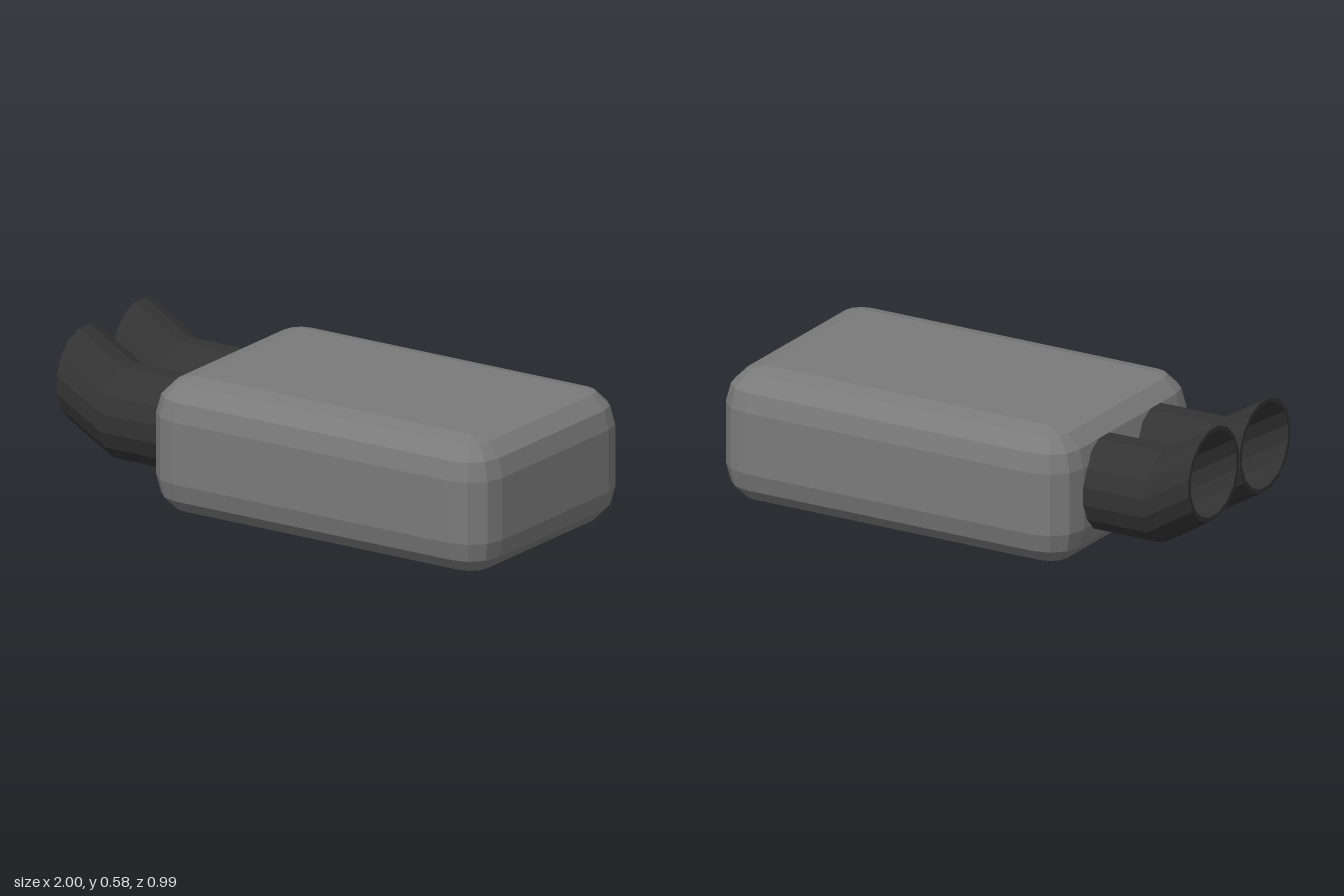
import * as THREE from 'three';

// Skins a list of closed rings (equal point counts) into one surface.
function loft(rings) {
  const n = rings[0].length;
  const index = [];
  for (let i = 0; i < rings.length - 1; i++) {
    for (let j = 0; j < n; j++) {
      const k = (j + 1) % n;
      const a = i * n + j, b = i * n + k, c = a + n, d = b + n;
      index.push(a, c, b, b, c, d);
    }
  }
  const geometry = new THREE.BufferGeometry();
  geometry.setAttribute('position', new THREE.Float32BufferAttribute(rings.flat(2), 3));
  geometry.setIndex(index);
  geometry.computeVertexNormals();
  return geometry;
}

// Box with edges rounded in a few flat steps, centred on the origin.
function bevelledBox(w, h, d, r, steps) {
  const ring = (y, radius) => {
    const points = [];
    for (let corner = 0; corner < 4; corner++) {
      const sx = corner === 0 || corner === 3 ? 1 : -1;
      const sz = corner < 2 ? 1 : -1;
      for (let s = 0; s <= steps; s++) {
        const a = (corner + s / steps) * Math.PI / 2;
        points.push([
          sx * (w / 2 - r) + radius * Math.cos(a), y,
          sz * (d / 2 - r) + radius * Math.sin(a),
        ]);
      }
    }
    return points;
  };
  const centre = (y) => Array.from({ length: 4 * (steps + 1) }, () => [0, y, 0]);

  const rings = [centre(-h / 2)];
  for (const side of [-1, 1]) {
    for (let s = 0; s <= steps; s++) {
      const a = (side < 0 ? s - steps : s) / steps * Math.PI / 2;
      rings.push(ring(side * (h / 2 - r) + r * Math.sin(a), r * Math.cos(a)));
    }
  }
  rings.push(centre(h / 2));
  return loft(rings);
}

// Hollow pipe running towards -x, with every section kept upright.
function bentPipe(z, endY) {
  const sides = 16;
  const section = ([x, y, radius]) => Array.from({ length: sides }, (_, j) => {
    const a = (j + 0.5) / sides * Math.PI * 2;
    return [x, y + radius * Math.cos(a), z + radius * Math.sin(a)];
  });
  const outer = 0.185, inner = 0.168;
  return loft([
    [-0.4, 0.28, outer], [-0.8, 0.28, outer], [-1, endY, outer],
    [-1, endY, inner], [-0.8, 0.28, inner], [-0.4, 0.28, inner],
  ].map(section));
}

export function createModel() {
  const group = new THREE.Group();
  const bodyMaterial = new THREE.MeshStandardMaterial({ color: 0x7a7a7a, flatShading: true });
  const pipeMaterial = new THREE.MeshStandardMaterial({ color: 0x333333, flatShading: true });

  // Silencer box
  const body = new THREE.Mesh(bevelledBox(1.54, 0.534, 0.99, 0.145, 3), bodyMaterial);
  body.name = 'mufflerBody';
  body.position.set(0.23, 0.267, 0);
  group.add(body);

  // Twin upturned outlets
  for (const [name, z, endY] of [['backPipe', -0.172, 0.4], ['frontPipe', 0.198, 0.395]]) {
    const pipe = new THREE.Mesh(bentPipe(z, endY), pipeMaterial);
    pipe.name = name;
    group.add(pipe);
  }
  return group;
}
